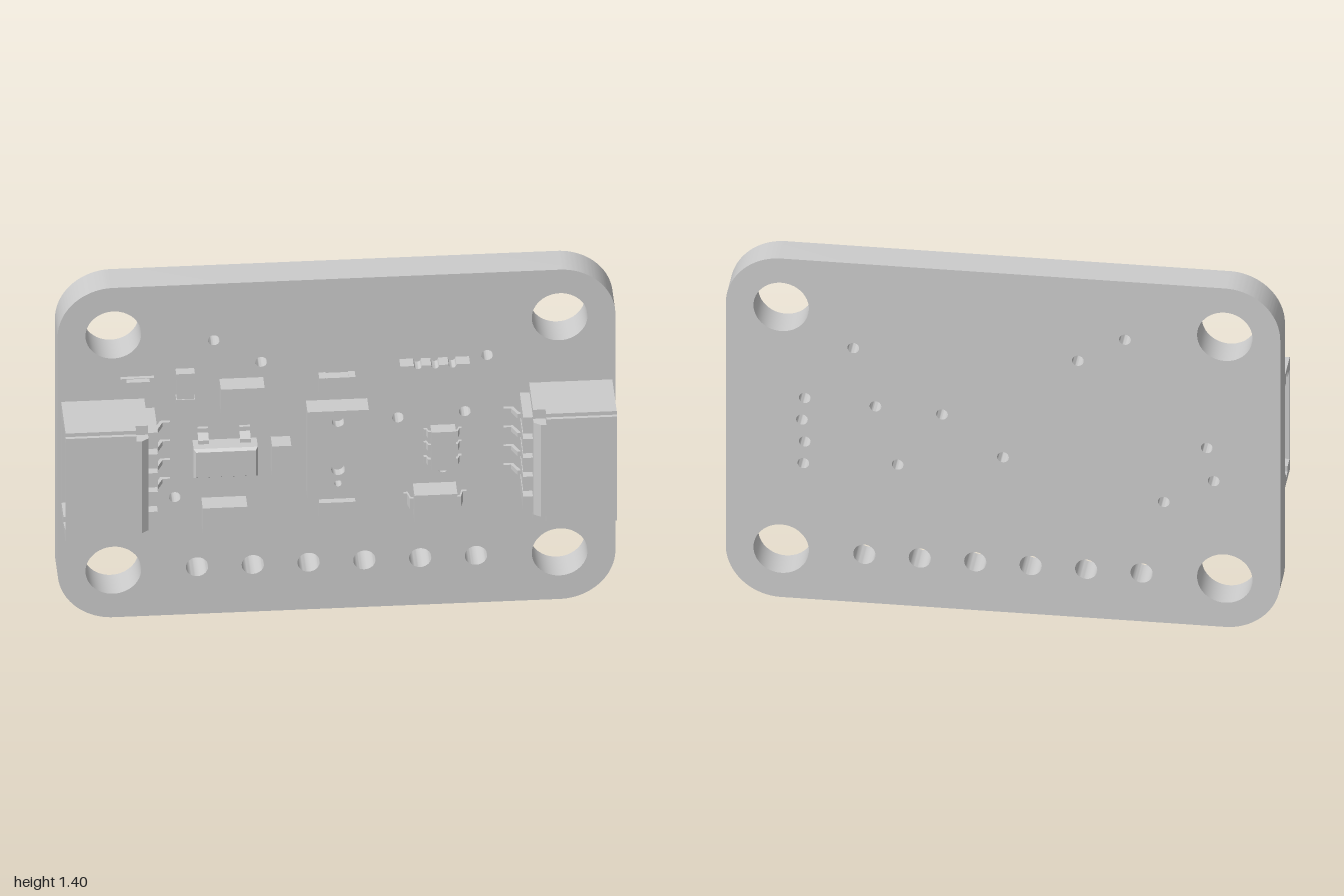
import * as THREE from 'three';
import { toCreasedNormals } from 'three/addons/utils/BufferGeometryUtils.js';

const material = new THREE.MeshStandardMaterial({ color: 0xcccccc });
const FACE = -0.055; // front surface of the board
const BACK = -0.18;

function add(parent, name, geometry) {
  const mesh = new THREE.Mesh(geometry, material);
  mesh.name = name;
  parent.add(mesh);
  return mesh;
}

// Box given by its limits on each axis
function box(parent, name, x0, x1, y0, y1, z0, z1) {
  const g = new THREE.BoxGeometry(x1 - x0, y1 - y0, z1 - z0);
  g.translate((x0 + x1) / 2, (y0 + y1) / 2, (z0 + z1) / 2);
  return add(parent, name, g);
}

function polygon(points) {
  return new THREE.Shape(points.map(([x, y]) => new THREE.Vector2(x, y)));
}

function rect(x0, x1, y0, y1) {
  return polygon([[x0, y0], [x1, y0], [x1, y1], [x0, y1]]);
}

function drill(shape, x, y, r) {
  shape.holes.push(new THREE.Path().absarc(x, y, r, 0, Math.PI * 2, true));
}

function extrude(shape, z0, z1, curveSegments = 12) {
  const g = new THREE.ExtrudeGeometry(shape, { depth: z1 - z0, bevelEnabled: false, curveSegments });
  g.translate(0, 0, z0);
  return toCreasedNormals(g, 0.6);
}

// Extrude a (-z, y) outline along x
function extrudeX(shape, x0, x1) {
  return extrude(shape, x0, x1).rotateY(Math.PI / 2);
}

// Bent lead: leaves a body at radius 0 and height h, then lands on the board
function lead(parent, x, y, angle, length, width, h, t = 0.012) {
  const s = polygon([[-0.01, h], [length * 0.3, h], [length * 0.55, 0], [length, 0],
    [length, t], [length * 0.65, t], [length * 0.4, h + t], [-0.01, h + t]]);
  const g = extrude(s, -width / 2, width / 2).rotateX(Math.PI / 2).rotateZ(angle);
  g.translate(x, y, FACE);
  return add(parent, 'lead', g);
}

// Circuit board with mounting holes, header holes and vias
function board(parent) {
  const s = new THREE.Shape();
  s.absarc(0.8, 0.2, 0.2, -Math.PI / 2, 0);
  s.absarc(0.8, 1.2, 0.2, 0, Math.PI / 2);
  s.absarc(-0.8, 1.2, 0.2, Math.PI / 2, Math.PI);
  s.absarc(-0.8, 0.2, 0.2, Math.PI, Math.PI * 1.5);
  s.closePath();
  for (const x of [-0.8, 0.8]) for (const y of [0.2, 1.2]) drill(s, x, y, 0.1);
  for (let i = 0; i < 6; i++) drill(s, -0.5 + i * 0.2, 0.2, 0.04);
  const vias = [[-0.44, 1.16], [-0.27, 1.06], [0.54, 1.05], [0.22, 0.8], [0.46, 0.815], [-0.58, 0.5],
    [0.38, 0.58], [0, 0.64], [-0.735, 0.735], [-0.76, 0.6],
    [0.715, 0.83], [0.725, 0.74], [0.715, 0.65], [0.72, 0.56]];
  for (const [x, y] of vias) drill(s, x, y, 0.021);
  add(parent, 'board', extrude(s, BACK, FACE, 24));
}

// Side-entry socket opening towards +x, centred on y = 0
function socket(name) {
  const g = new THREE.Group();
  g.name = name;
  const o = 0.233, i = 0.185, n = 0.208;
  const shell = polygon([[0.045, -o], [0.045, o], [-0.165, o], [-0.165, 0.218], [-0.178, 0.218],
    [-0.178, -0.218], [-0.165, -0.218], [-0.165, -o]]);
  // Opening with a keying slot in each side wall
  shell.holes.push(polygon([[0.028, -i], [-0.065, -i], [-0.065, -n], [-0.11, -n], [-0.11, -i], [-0.16, -i],
    [-0.16, i], [-0.11, i], [-0.11, n], [-0.065, n], [-0.065, i], [0.028, i]]));
  add(g, 'socketShell', extrudeX(shell, 0.735, 0.988));
  box(g, 'socketBack', 0.69, 0.736, -o, o, -0.045, 0.135);
  const cap = polygon([[0.69, 0.135], [0.736, 0.135], [0.736, 0.178], [0.715, 0.178], [0.69, 0.16]]);
  add(g, 'socketBackCap', extrude(cap, -0.195, 0.195).rotateX(Math.PI / 2));
  // Teeth between the contacts
  for (let k = -2; k <= 2; k++) {
    const w = Math.abs(k) === 2 ? 0.034 : 0.03, y = k * 0.08 + Math.sign(k) * (Math.abs(k) === 2 ? 0.008 : 0);
    box(g, 'socketTooth', 0.655, 0.691, y - w, y + w, -0.03, 0.135);
  }
  for (let k = 0; k < 4; k++) {
    const y = -0.12 + k * 0.08;
    lead(g, 0.675, y, Math.PI, 0.077, 0.018, 0.04);
    box(g, 'contactPin', 0.73, 0.93, y - 0.008, y + 0.008, 0.08, 0.115);
  }
  // Solder tabs
  for (const s of [-1, 1]) box(g, 'solderTab', 0.74, 0.785, s * 0.215 - 0.012, s * 0.215 + 0.012, FACE, -0.03);
  g.position.y = 0.698;
  return g;
}

// Chip with end caps slightly larger than its body
function chip(parent, name, cx, cy, w, h, top, vertical = false) {
  const g = new THREE.Group();
  g.name = name;
  const c = w * 0.19;
  box(g, 'chipBody', -w / 2 + c, w / 2 - c, -h / 2 + 0.003, h / 2 - 0.003, FACE, top - 0.004);
  for (const s of [-1, 1]) {
    const m = s * (w - c) / 2;
    box(g, 'chipCap', m - c / 2, m + c / 2, -h / 2, h / 2, FACE, top);
  }
  g.position.set(cx, cy, 0);
  if (vertical) g.rotation.z = Math.PI / 2;
  parent.add(g);
}

function components(parent) {
  chip(parent, 'upperCapacitor', 0, 0.97, 0.13, 0.07, -0.015);
  chip(parent, 'lowerCapacitor', 0, 0.44, 0.13, 0.07, -0.015);
  chip(parent, 'sideResistor', -0.544, 0.978, 0.135, 0.067, -0.018, true);

  // Indicator light
  box(parent, 'indicatorBase', -0.775, -0.655, 0.965, 1.02, FACE, -0.04);
  box(parent, 'indicatorLens', -0.755, -0.672, 0.967, 1.018, -0.04, -0.018);

  // Plain block parts
  box(parent, 'upperBlock', -0.42, -0.263, 0.893, 0.995, FACE, 0.017);
  box(parent, 'lowerBlock', -0.485, -0.325, 0.39, 0.493, FACE, 0.017);
  box(parent, 'smallBlock', -0.236, -0.167, 0.61, 0.74, FACE, 0.01);

  // Regulator with five leads
  const body = rect(-0.518, -0.288, 0.628, 0.75);
  const geo = new THREE.ExtrudeGeometry(body, { depth: 0.06, bevelThickness: 0.012, bevelSize: 0.008, bevelOffset: -0.008, bevelSegments: 1 });
  add(parent, 'regulatorBody', geo.translate(0, 0, -0.038));
  for (const x of [-0.48, -0.33]) lead(parent, x, 0.745, Math.PI / 2, 0.05, 0.038, 0.035);
  for (const x of [-0.48, -0.405, -0.33]) lead(parent, x, 0.633, -Math.PI / 2, 0.05, 0.038, 0.035);

  // Sensor with blind openings in its lid
  const lid = rect(-0.11, 0.11, 0.515, 0.887);
  drill(lid, 0, 0.842, 0.022);
  drill(lid, 0, 0.64, 0.025);
  drill(lid, 0, 0.58, 0.013);
  add(parent, 'sensorLid', extrude(lid, -0.015, 0.022));
  box(parent, 'sensorBase', -0.11, 0.11, 0.515, 0.887, FACE, -0.015);

  // Resistor array with scalloped long edges
  const array = new THREE.Shape();
  array.moveTo(0.225, 0.925);
  for (const x of [0.288, 0.35, 0.412]) array.absarc(x, 0.925, 0.014, Math.PI, 0, true);
  array.lineTo(0.475, 0.925);
  array.lineTo(0.475, 1.048);
  for (const x of [0.412, 0.35, 0.288]) array.absarc(x, 1.048, 0.014, 0, Math.PI, true);
  array.lineTo(0.225, 1.048);
  add(parent, 'resistorArray', extrude(array, FACE, -0.005, 6));

  // Six-lead transistor
  box(parent, 'transistorBody', 0.336, 0.424, 0.602, 0.765, -0.05, 0);
  for (const y of [0.622, 0.683, 0.738]) {
    lead(parent, 0.424, y, 0, 0.024, 0.026, 0.018);
    lead(parent, 0.336, y, Math.PI, 0.024, 0.026, 0.018);
  }

  // Diode with wide end leads
  box(parent, 'diodeBody', 0.273, 0.427, 0.402, 0.52, -0.05, 0.032);
  lead(parent, 0.427, 0.46, 0, 0.038, 0.045, 0.035);
  lead(parent, 0.273, 0.46, Math.PI, 0.033, 0.045, 0.035);
}

export function createModel() {
  const model = new THREE.Group();
  model.name = 'sensorBoard';
  board(model);
  const left = socket('leftSocket');
  const right = socket('rightSocket');
  right.rotation.z = Math.PI;
  model.add(left, right);
  components(model);
  return model;
}
